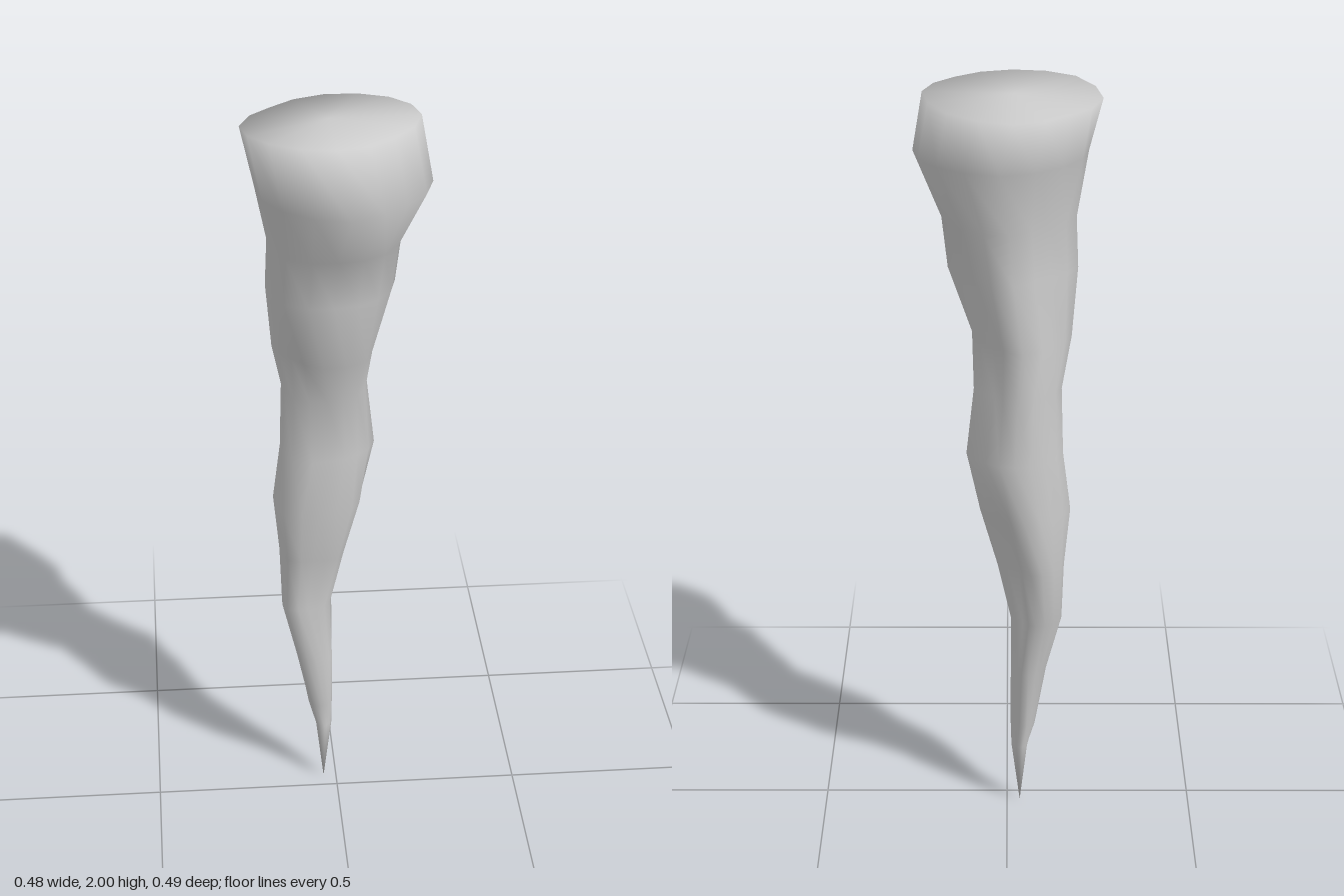
import * as THREE from 'three';

// Rings from top to bottom: height, then the outward reach from the axis
// in eight directions, starting at +x and turning towards +z.
const RINGS = [
  [2.00, 0.21, 0.175, 0.19, 0.215, 0.238, 0.226, 0.247, 0.235],
  [1.84, 0.237, 0.222, 0.245, 0.222, 0.205, 0.20, 0.225, 0.225],
  [1.68, 0.165, 0.14, 0.13, 0.165, 0.175, 0.165, 0.195, 0.185],
  [1.55, 0.15, 0.12, 0.115, 0.16, 0.18, 0.17, 0.195, 0.155],
  [1.37, 0.085, 0.09, 0.09, 0.10, 0.165, 0.175, 0.20, 0.12],
  [1.24, 0.085, 0.03, 0.025, 0.075, 0.14, 0.18, 0.205, 0.127],
  [1.06, 0.105, 0.03, 0.015, 0.09, 0.145, 0.185, 0.19, 0.153],
  [0.90, 0.07, 0.026, 0.02, 0.105, 0.165, 0.196, 0.20, 0.116],
  [0.74, 0.025, -0.01, -0.01, 0.08, 0.15, 0.19, 0.16, 0.06],
  [0.58, -0.01, -0.045, -0.02, 0.08, 0.145, 0.175, 0.135, 0.05],
  [0.42, -0.01, -0.03, -0.005, 0.058, 0.105, 0.127, 0.115, 0.045],
  [0.25, -0.01, -0.04, -0.03, 0.02, 0.075, 0.10, 0.09, 0.03],
  [0.18, -0.012, -0.045, -0.03, 0.01, 0.055, 0.085, 0.075, 0.025],
];
const TIP = [-0.035, 0, -0.045];
const SIDES = 16;

// Points of one ring, around its own centre; odd points lie between two directions.
function ringPoints([y, ...reach], isTop) {
  const cx = (reach[0] - reach[4]) / 2, cz = (reach[2] - reach[6]) / 2;
  const radius = (k) => {
    const a = (k * Math.PI) / 4;
    return reach[k % 8] - cx * Math.cos(a) - cz * Math.sin(a);
  };
  return Array.from({ length: SIDES }, (_, i) => {
    const a = (i / SIDES) * Math.PI * 2, k = Math.floor(i / 2);
    const r = i % 2 ? (radius(k) + radius(k + 1)) / 2 : radius(k);
    const x = cx + r * Math.cos(a), z = cz + r * Math.sin(a);
    // the top rim dips slightly towards the back
    return [x, isTop ? Math.min(2, 1.995 + 0.08 * z + 0.04 * x) : y, z];
  });
}

function spikeGeometry() {
  const points = RINGS.flatMap((ring, i) => ringPoints(ring, i === 0));
  const tip = points.push(TIP) - 1;
  const capCentre = points.push([-0.02, 1.995, -0.03]) - 1;
  const index = [];
  const last = RINGS.length - 1;
  for (let s = 0; s < SIDES; s++) {
    const n = (s + 1) % SIDES;
    index.push(capCentre, n, s);
    for (let r = 0; r < last; r++) {
      const a = r * SIDES + s, b = r * SIDES + n;
      index.push(a, b, a + SIDES, b, b + SIDES, a + SIDES);
    }
    index.push(last * SIDES + s, last * SIDES + n, tip);
  }
  const geometry = new THREE.BufferGeometry();
  geometry.setAttribute('position', new THREE.Float32BufferAttribute(points.flat(), 3));
  geometry.setIndex(index);
  geometry.computeVertexNormals();
  return geometry;
}

export function createModel() {
  const model = new THREE.Group();
  model.name = 'stalactite';
  const spike = new THREE.Mesh(spikeGeometry(), new THREE.MeshStandardMaterial({ color: 0xcccccc }));
  spike.name = 'spike';
  model.add(spike);
  return model;
}
